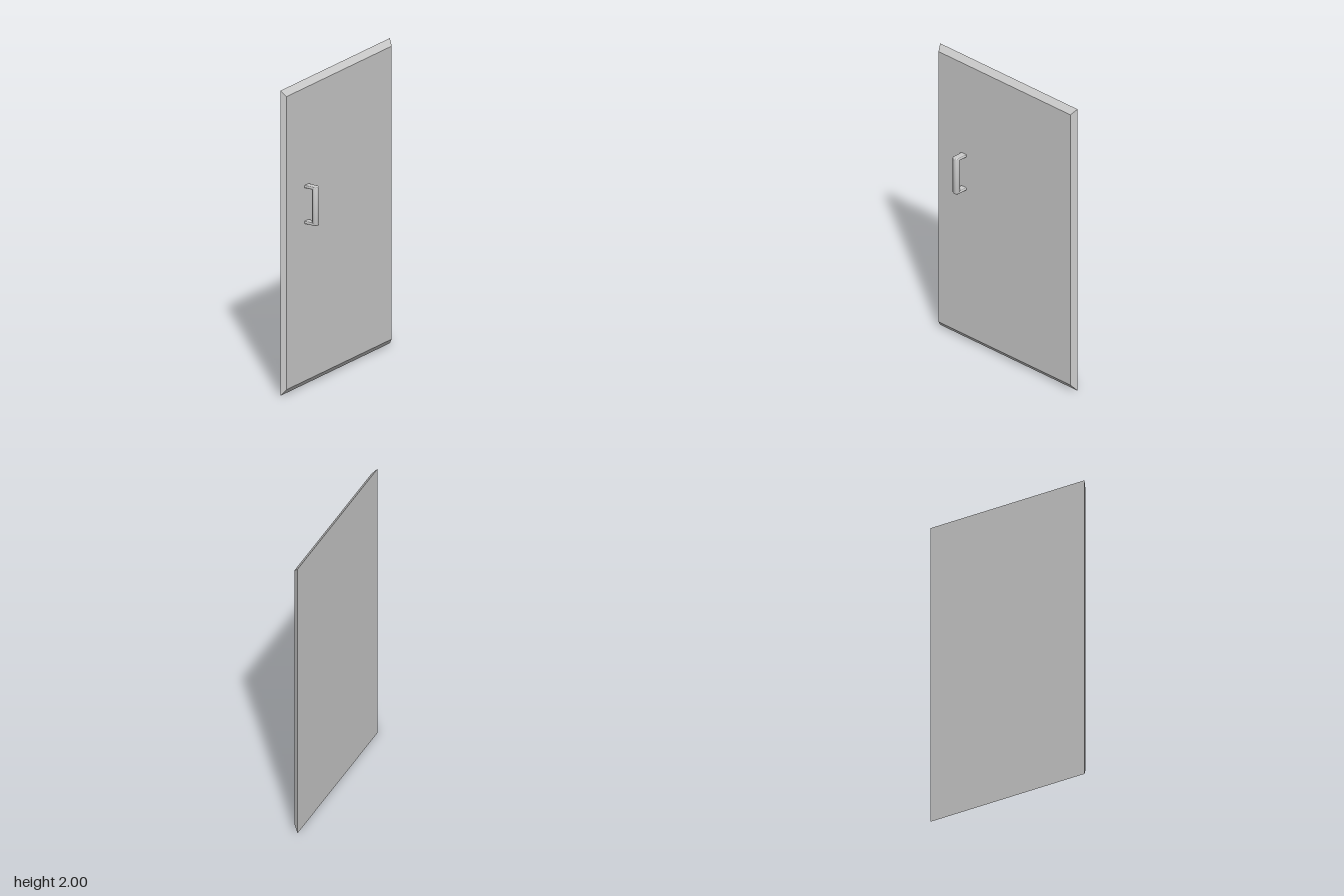
import * as THREE from 'three';
import { toCreasedNormals } from 'three/addons/utils/BufferGeometryUtils.js';

const grey = new THREE.MeshStandardMaterial({ color: 0xcccccc });

function addMesh(parent, name, geometry) {
  const mesh = new THREE.Mesh(geometry, grey);
  mesh.name = name;
  parent.add(mesh);
  return mesh;
}

// Extrude a plan outline upward from y = bottom, with softly bevelled rims
function plate(shape, bottom, height, bevel) {
  const geometry = new THREE.ExtrudeGeometry(shape, {
    depth: height - 2 * bevel, curveSegments: 16, bevelEnabled: true,
    bevelThickness: bevel, bevelSize: bevel, bevelOffset: -bevel, bevelSegments: 3,
  });
  geometry.rotateX(-Math.PI / 2).translate(0, bottom + bevel, 0);
  return toCreasedNormals(geometry, 0.6);
}

export function createModel() {
  const model = new THREE.Group();
  model.name = 'door';

  // Door leaf: a thin slab whose handle-side face is drawn in to bevel all four edges
  const leaf = new THREE.BoxGeometry(0.034, 2, 1.18).translate(-0.0455, 1, 0);
  const pos = leaf.attributes.position;
  for (let i = 0; i < pos.count; i++) {
    if (pos.getX(i) < -0.04) continue;
    pos.setY(i, pos.getY(i) > 1 ? 1.963 : 0.042);
    pos.setZ(i, pos.getZ(i) > 0 ? 0.572 : -0.562);
  }
  leaf.computeVertexNormals();
  addMesh(model, 'doorLeaf', leaf);

  // Pull handle: upright rounded grip on two flat arms
  const handle = new THREE.Group();
  handle.name = 'handle';
  handle.position.z = 0.354;
  model.add(handle);

  const r = 0.0235, outer = 0.0595, low = 1.072, high = 1.325;
  const gripOutline = new THREE.Shape();
  gripOutline.absellipse(outer - 0.0205, 0, 0.0205, r, 0, Math.PI * 2);
  addMesh(handle, 'grip', plate(gripOutline, low, high - low, 0.006));

  // Arm outline: straight sides with a round outer end
  const arm = new THREE.Shape();
  arm.moveTo(-0.04, -r);
  arm.lineTo(outer - r, -r);
  arm.absarc(outer - r, 0, r, -Math.PI / 2, Math.PI / 2);
  arm.lineTo(-0.04, r);
  arm.closePath();
  const thick = 0.018;
  addMesh(handle, 'lowerArm', plate(arm, low, thick, 0.005));
  addMesh(handle, 'upperArm', plate(arm, high - thick, thick, 0.005));

  return model;
}
